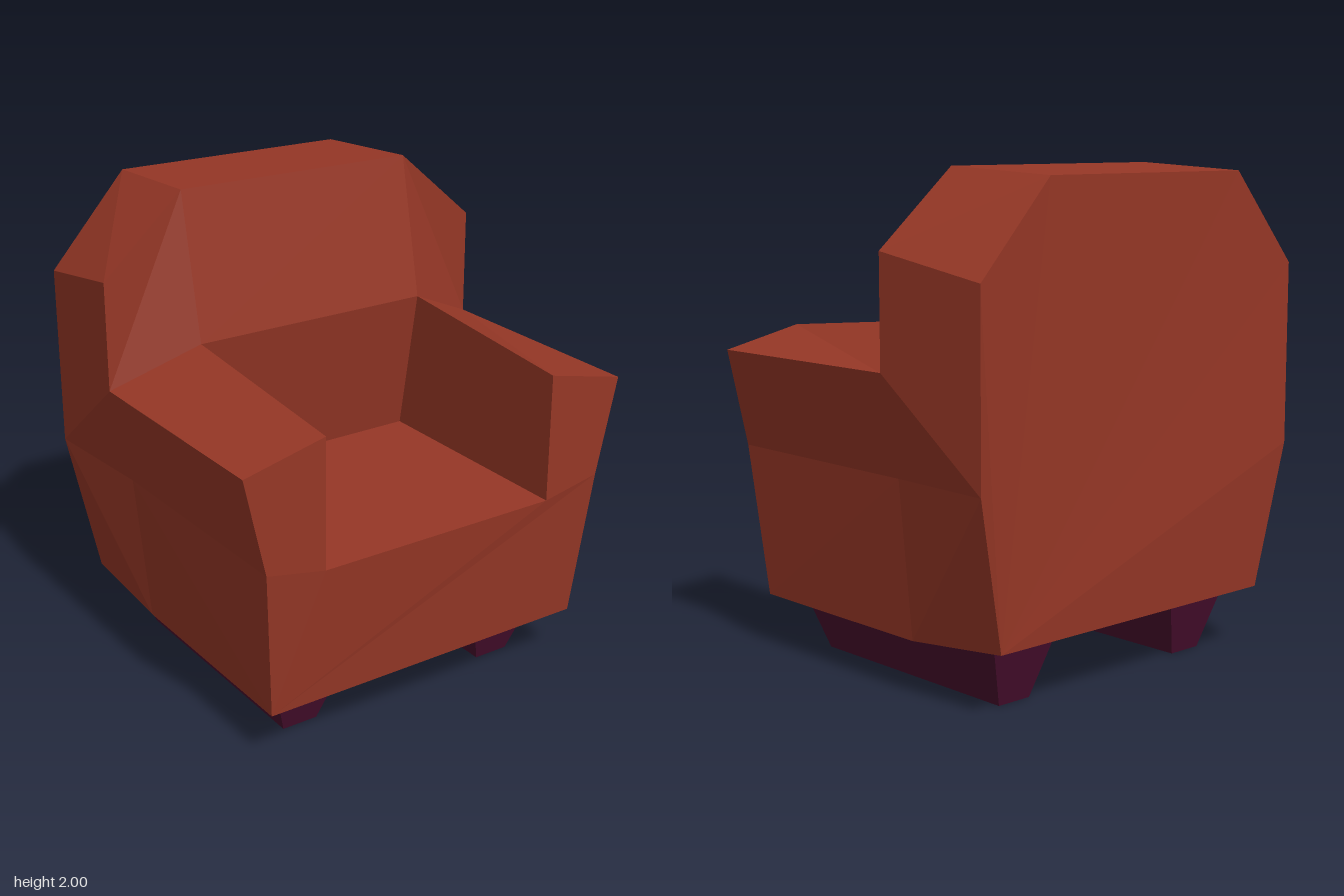
import * as THREE from 'three';

const upholstery = new THREE.MeshStandardMaterial({ color: 0x963726 });
upholstery.name = 'rust upholstery';
const wood = new THREE.MeshStandardMaterial({ color: 0x480e2d });
wood.name = 'dark plum wood';

// Flat-sided mesh from polygons, each listed counter-clockwise and cut as a fan
function facetMesh(name, polygons) {
  const pos = [];
  for (const p of polygons) {
    for (let i = 1; i < p.length - 1; i++) pos.push(...p[0], ...p[i], ...p[i + 1]);
  }
  const geo = new THREE.BufferGeometry();
  geo.setAttribute('position', new THREE.Float32BufferAttribute(pos, 3));
  geo.computeVertexNormals();
  const mesh = new THREE.Mesh(geo, upholstery);
  mesh.name = name;
  return mesh;
}

// Corner points of one half of the chair; s is the side
function corners(s, topY, backFootX) {
  return {
    armInner: [s * 0.525, 1.33, 0.75],
    armOuter: [s * 0.87, 1.25, 0.75],
    frontWaist: [s * 0.78, 0.85, 0.75],
    frontFoot: [s * 0.73, 0.22, 0.69],
    seatFront: [s * 0.525, 0.8, 0.75],
    seatBack: [s * 0.525, 0.8, -0.23],
    armEnd: [s * 0.525, 1.41, -0.12],
    midOuter: [s * 0.87, 1.25, -0.24],
    midWaist: [s * 0.79, 0.85, -0.24],
    midFoot: [s * 0.73, 0.22, -0.24],
    shoulder: [s * 0.87, 1.69, -0.24],
    crown: [s * 0.525, topY, -0.24],
    backCrown: [s * 0.51, topY - 0.03, -0.75],
    backShoulder: [s * 0.84, 1.6, -0.75],
    backWaist: [s * 0.84, 0.86, -0.75],
    backFoot: [s * backFootX, 0.26, -0.7],
  };
}

// Foot rail narrowing towards the floor
function footRail(s) {
  const geo = new THREE.BoxGeometry(1, 1, 1).toNonIndexed();
  const p = geo.attributes.position;
  for (let i = 0; i < p.count; i++) {
    const top = p.getY(i) > 0;
    const x = s * 0.483 + Math.sign(p.getX(i)) * (top ? 0.162 : 0.077);
    const z = p.getZ(i) > 0 ? (top ? 0.58 : 0.5) : (top ? -0.6 : -0.535);
    p.setXYZ(i, x, top ? 0.26 : 0, z);
  }
  geo.computeVertexNormals();
  const mesh = new THREE.Mesh(geo, wood);
  mesh.name = s > 0 ? 'leftFootRail' : 'rightFootRail';
  return mesh;
}

export function createModel() {
  const chair = new THREE.Group();
  chair.name = 'armchair';
  const L = corners(1, 1.99, 0.7);
  const R = corners(-1, 2.0, 0.73);

  // Arms, flanks and wings on both sides
  for (const [side, c] of [['left', L], ['right', R]]) {
    const wind = (list) => (side === 'left' ? list : list.map((f) => [f[0], ...f.slice(1).reverse()]));
    chair.add(facetMesh(side + 'Arm', wind([
      [c.seatFront, c.frontWaist, c.armOuter, c.armInner],
      [c.armInner, c.armOuter, c.midOuter, c.armEnd],
      [c.frontWaist, c.midWaist, c.midOuter, c.armOuter],
      [c.seatBack, c.seatFront, c.armInner, c.armEnd],
    ])));
    chair.add(facetMesh(side + 'Flank', wind([
      [c.frontFoot, c.midFoot, c.midWaist, c.frontWaist],
      [c.midFoot, c.backFoot, c.backWaist, c.midWaist],
    ])));
    chair.add(facetMesh(side + 'Wing', wind([
      [c.midOuter, c.midWaist, c.backWaist, c.backShoulder, c.shoulder],
      [c.shoulder, c.backShoulder, c.backCrown, c.crown],
      [c.midOuter, c.shoulder, c.crown, c.armEnd],
    ])));
  }

  // Seat and front panel
  chair.add(facetMesh('seat', [[R.seatFront, L.seatFront, L.seatBack, R.seatBack]]));
  chair.add(facetMesh('frontPanel', [
    [R.frontFoot, L.frontFoot, L.frontWaist, L.seatFront, R.seatFront, R.frontWaist],
  ]));

  // Backrest cushion, top and rear panel
  chair.add(facetMesh('backrest', [
    [R.seatBack, L.seatBack, L.armEnd, R.armEnd],
    [R.armEnd, L.armEnd, L.crown, R.crown],
    [R.crown, L.crown, L.backCrown, R.backCrown],
  ]));
  chair.add(facetMesh('rearPanel', [
    [L.backFoot, R.backFoot, R.backWaist, R.backShoulder,
      R.backCrown, L.backCrown, L.backShoulder, L.backWaist],
  ]));

  // Underside
  chair.add(facetMesh('underside', [
    [R.backFoot, L.backFoot, L.midFoot, R.midFoot],
    [R.midFoot, L.midFoot, L.frontFoot, R.frontFoot],
  ]));

  chair.add(footRail(1), footRail(-1));
  return chair;
}
